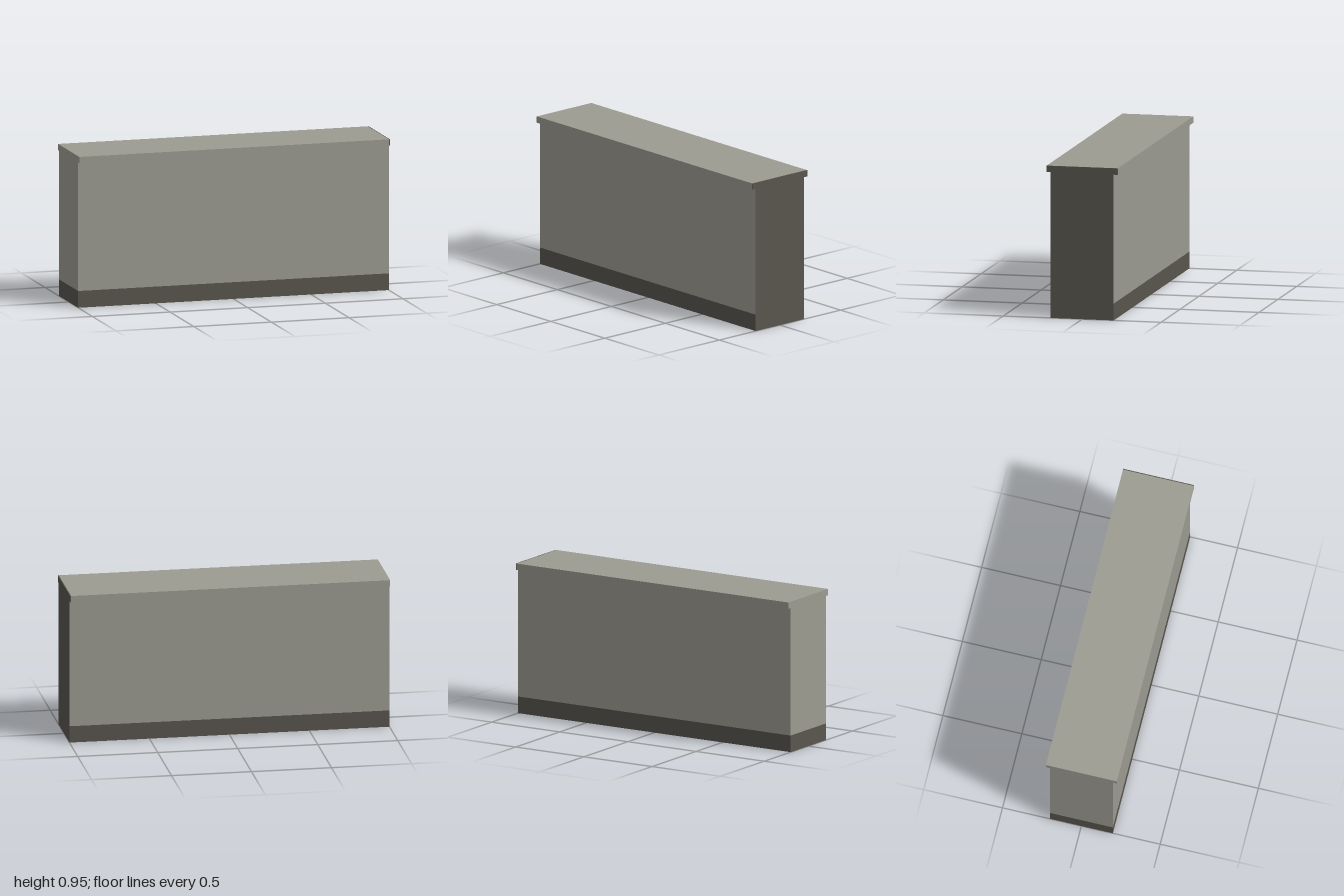
import * as THREE from 'three';

export function createModel() {
  const stone = new THREE.MeshStandardMaterial({ color: 0x9c9b91 });
  stone.name = 'light stone';
  const dark = new THREE.MeshStandardMaterial({ color: 0x59554e });
  dark.name = 'dark stone';

  const group = new THREE.Group();
  group.name = 'wall';

  // Box spanning x0..x1 and y0..y1; mats order: +x, -x, +y, -y, +z, -z
  const block = (name, x0, x1, y0, y1, depth, mats) => {
    const mesh = new THREE.Mesh(new THREE.BoxGeometry(x1 - x0, y1 - y0, depth), mats);
    mesh.position.set((x0 + x1) / 2, (y0 + y1) / 2, 0);
    mesh.name = name;
    group.add(mesh);
  };

  // Dark plinth with a light underside
  block('plinth', -1, 1, 0, 0.105, 0.4, [dark, dark, dark, stone, dark, dark]);

  // Main wall with a dark end face
  block('wallBody', -1, 1, 0.105, 0.91, 0.4, [dark, stone, stone, stone, stone, stone]);

  // Overhanging coping, finished with a thin dark end plate
  block('coping', -1, 0.994, 0.91, 0.95, 0.45, stone);
  block('copingEnd', 0.994, 1, 0.91, 0.95, 0.45, dark);

  return group;
}
